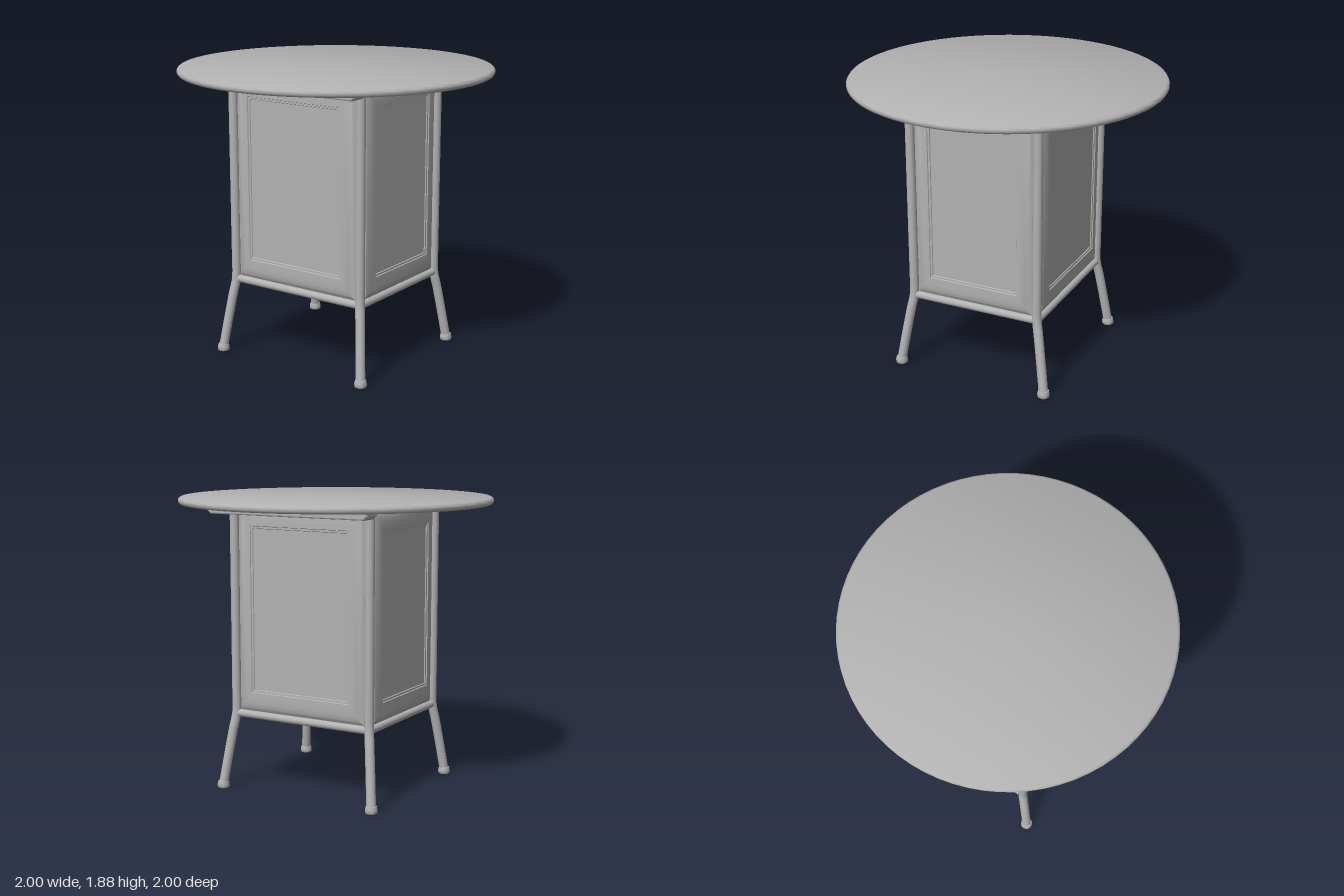
import * as THREE from 'three';
import { toCreasedNormals } from 'three/addons/utils/BufferGeometryUtils.js';

const grey = new THREE.MeshStandardMaterial({ color: 0xb2b2b2 });
grey.name = 'satin grey';

const LEG_X = 0.432, LEG_Z = 0.487;

function add(parent, name, geometry, x = 0, y = 0, z = 0) {
  const mesh = new THREE.Mesh(geometry, grey);
  mesh.name = name;
  mesh.position.set(x, y, z);
  parent.add(mesh);
  return mesh;
}

const lathe = (points, segments) => toCreasedNormals(
  new THREE.LatheGeometry(points.map(([r, y]) => new THREE.Vector2(r, y)), segments), 0.7);

// Raised panel facing +z: nested rectangles, each [side, bottom, top inset, depth]
function panelGeometry(halfWidth, y0, y1) {
  const rings = [
    [0, 0, 0, 0], [0.02, 0.025, 0.02, 0.016], [0.045, 0.055, 0.05, 0.026], [0.073, 0.085, 0.09, 0.03],
    [0.1, 0.13, 0.12, 0.03], [0.103, 0.133, 0.123, 0.024], [0.115, 0.145, 0.135, 0.024],
    [0.118, 0.148, 0.138, 0.018],
  ].map(([s, b, t, d]) => {
    const w = halfWidth - s;
    return [[-w, y0 + b, d], [w, y0 + b, d], [w, y1 - t, d], [-w, y1 - t, d]];
  });
  const pos = [];
  const quad = (a, b, c, d) => pos.push(...a, ...b, ...c, ...a, ...c, ...d);
  for (let i = 0; i < rings.length - 1; i++) {
    for (let k = 0; k < 4; k++) {
      const n = (k + 1) % 4;
      quad(rings[i][k], rings[i][n], rings[i + 1][n], rings[i + 1][k]);
    }
  }
  quad(...rings[rings.length - 1]);
  const g = new THREE.BufferGeometry();
  g.setAttribute('position', new THREE.Float32BufferAttribute(pos, 3));
  return toCreasedNormals(g, 0.5);
}

// Straight rod between two points
function rod(parent, name, a, b, radius) {
  const from = new THREE.Vector3(...a), to = new THREE.Vector3(...b);
  const dir = to.clone().sub(from);
  const mesh = add(parent, name, new THREE.CylinderGeometry(radius, radius, dir.length(), 16));
  mesh.position.copy(from).add(to).multiplyScalar(0.5);
  mesh.quaternion.setFromUnitVectors(new THREE.Vector3(0, 1, 0), dir.normalize());
}

export function createModel() {
  const table = new THREE.Group();
  table.name = 'pedestalTable';

  // Round top with a softened rim
  add(table, 'tableTop', lathe([
    [0, 1.831], [0.985, 1.831], [0.994, 1.836], [1, 1.846],
    [1, 1.86], [0.994, 1.869], [0.983, 1.875], [0, 1.875],
  ], 72));

  // Cabinet core with four raised panels
  const cabinet = new THREE.Group();
  cabinet.name = 'cabinet';
  table.add(cabinet);
  add(cabinet, 'core', new THREE.BoxGeometry(0.85, 1.345, 0.96), 0, 1.158, 0);
  const endPanel = panelGeometry(0.402, 0.51, 1.822);
  const sidePanel = panelGeometry(0.455, 0.51, 1.822);
  for (const s of [1, -1]) {
    add(cabinet, s > 0 ? 'frontPanel' : 'backPanel', endPanel, 0, 0, s * 0.481)
      .rotation.y = s > 0 ? 0 : Math.PI;
    add(cabinet, s > 0 ? 'leftPanel' : 'rightPanel', sidePanel, s * 0.426, 0, 0)
      .rotation.y = s * Math.PI / 2;
  }

  // Bent tube legs with rubber feet
  const footGeo = lathe([
    [0, 0], [0.034, 0], [0.039, 0.006], [0.039, 0.026], [0.034, 0.044], [0, 0.046],
  ], 20);
  for (const sx of [1, -1]) {
    for (const sz of [1, -1]) {
      const path = new THREE.CatmullRomCurve3([
        [0, 1.825], [0, 1.2], [0, 0.6], [0, 0.52], [0.005, 0.465], [0.018, 0.4], [0.046, 0.23], [0.077, 0.03],
      ].map(([out, y]) => new THREE.Vector3(sx * (LEG_X + out), y, sz * (LEG_Z + out * 0.77))));
      add(table, 'leg', new THREE.TubeGeometry(path, 48, 0.03, 16));
      add(table, 'foot', footGeo, sx * 0.51, 0, sz * 0.547);
    }
  }

  // Lower rails joining the legs
  for (const s of [1, -1]) {
    rod(table, 'endRail', [-LEG_X, 0.49, s * LEG_Z], [LEG_X, 0.49, s * LEG_Z], 0.025);
    rod(table, 'sideRail', [s * LEG_X, 0.49, -LEG_Z], [s * LEG_X, 0.49, LEG_Z], 0.025);
  }

  // Chamfered cleats under the top, each with two thin straps to the legs
  const outline = new THREE.Shape();
  [[-0.565, 1.832], [-0.565, 1.8], [-0.54, 1.78], [0.54, 1.78], [0.565, 1.8], [0.565, 1.832]]
    .forEach(([z, y], i) => (i ? outline.lineTo(z, y) : outline.moveTo(z, y)));
  const cleatGeo = new THREE.ExtrudeGeometry(outline, {
    depth: 0.11, bevelEnabled: true, bevelSize: 0.008, bevelThickness: 0.01, bevelOffset: -0.008, bevelSegments: 2,
  });
  cleatGeo.translate(0, 0, -0.055);
  cleatGeo.rotateY(Math.PI / 2);
  for (const sx of [1, -1]) {
    add(table, 'cleat', cleatGeo, sx * 0.55, 0, 0);
    for (const sz of [1, -1]) {
      add(table, 'strap', new THREE.BoxGeometry(0.15, 0.012, 0.07), sx * 0.475, 1.826, sz * 0.55);
    }
  }
  return table;
}
